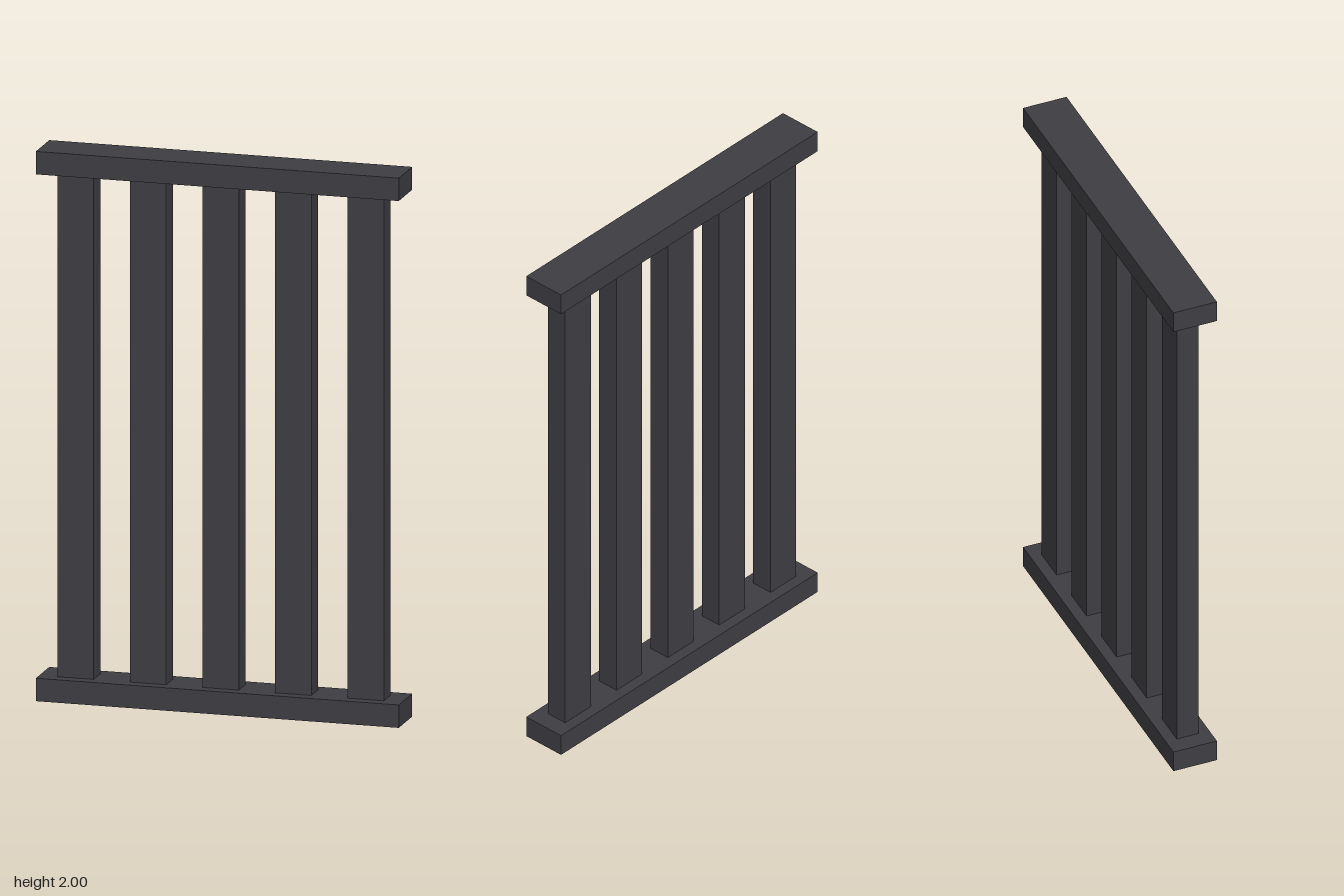
import * as THREE from 'three';

export function createModel() {
  const group = new THREE.Group();
  group.name = 'barredPanel';

  const iron = new THREE.MeshStandardMaterial({ color: 0x3f3e43 });
  iron.name = 'dark iron';

  const u = 2 / 24; // thickness of rails and bars

  const addBox = (name, w, h, d, x, y) => {
    const mesh = new THREE.Mesh(new THREE.BoxGeometry(w, h, d), iron);
    mesh.name = name;
    mesh.position.set(x, y, 0);
    group.add(mesh);
  };

  // Horizontal rails
  addBox('bottomRail', 16 * u, u, 2 * u, 0, u / 2);
  addBox('topRail', 16 * u, u, 2 * u, 0, 2 - u / 2);

  // Five flat upright bars between the rails
  for (let i = -2; i <= 2; i++) {
    addBox(`bar${i + 3}`, 1.6 * u, 2 - 2 * u, u, i * 3.2 * u, 1);
  }

  return group;
}
